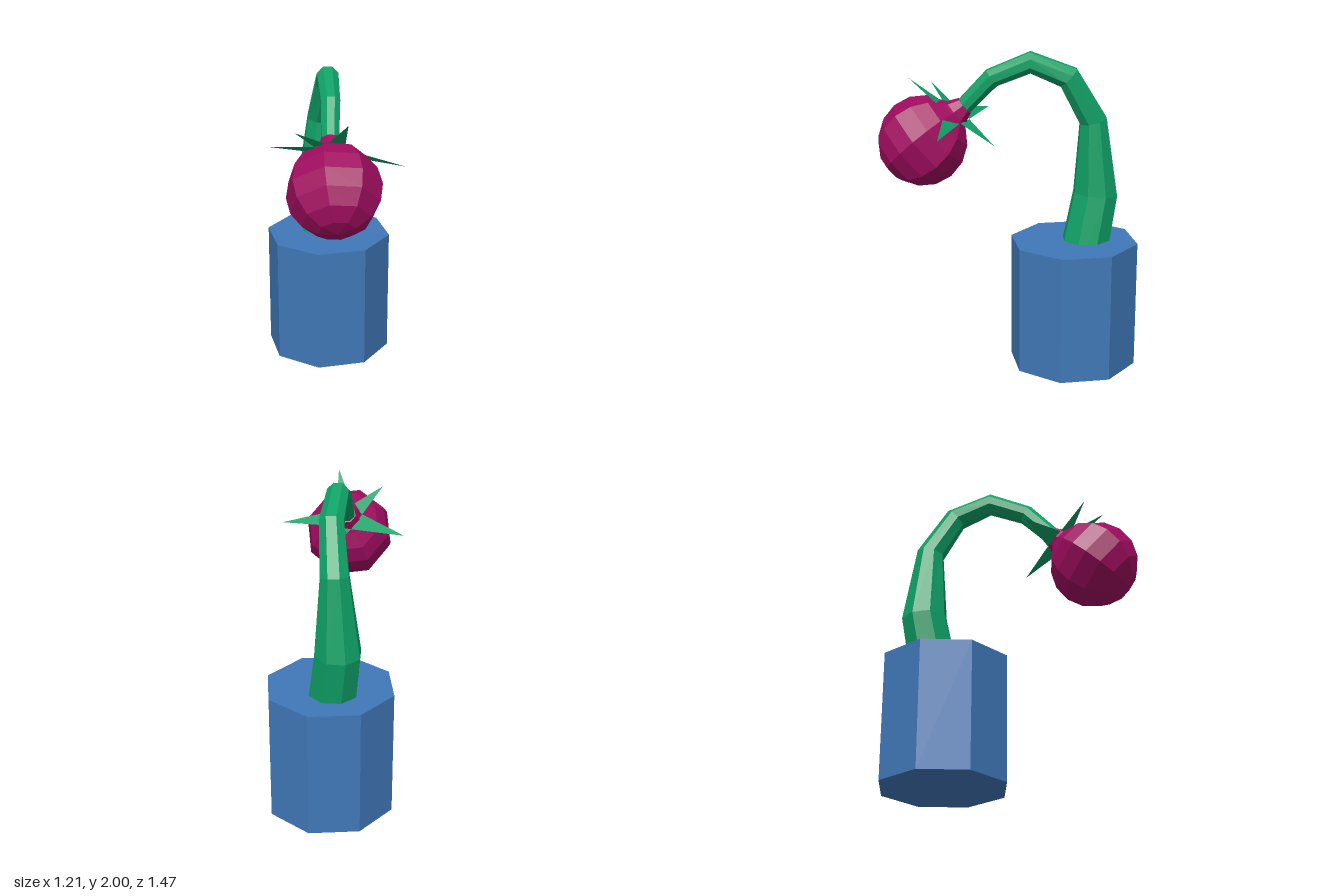
import * as THREE from 'three';

const V = (x, y, z) => new THREE.Vector3(x, y, z);
const mat = (color, side = THREE.FrontSide) =>
  new THREE.MeshStandardMaterial({ color, flatShading: true, side });

function addMesh(group, name, geometry, material) {
  const mesh = new THREE.Mesh(geometry, material);
  mesh.name = name;
  group.add(mesh);
  return mesh;
}

// Tapering tube with one ring of corners per point [x, y, z, radius]
function taperedTube(rings, side, sides) {
  const centres = rings.map(r => V(r[0], r[1], r[2]));
  const pos = [], index = [];
  rings.forEach((ring, i) => {
    const tangent = centres[Math.min(i + 1, rings.length - 1)].clone()
      .sub(centres[Math.max(i - 1, 0)]).normalize();
    const u = side.clone().addScaledVector(tangent, -side.dot(tangent)).normalize();
    const v = tangent.clone().cross(u);
    for (let j = 0; j < sides; j++) {
      const a = (j + 0.5) / sides * Math.PI * 2;
      const p = centres[i].clone()
        .addScaledVector(u, Math.cos(a) * ring[3])
        .addScaledVector(v, Math.sin(a) * ring[3]);
      pos.push(p.x, p.y, p.z);
      if (i < rings.length - 1) {
        const k = i * sides + j, n = i * sides + (j + 1) % sides;
        index.push(k, n, n + sides, k, n + sides, k + sides);
      }
    }
  });
  const g = new THREE.BufferGeometry();
  g.setAttribute('position', new THREE.Float32BufferAttribute(pos, 3));
  g.setIndex(index);
  g.computeVertexNormals();
  return g;
}

export function createModel() {
  const model = new THREE.Group();
  model.name = 'pottedPlant';
  const green = 0x0fa066;

  // Octagonal pot
  const pot = addMesh(model, 'pot', new THREE.CylinderGeometry(0.405, 0.405, 0.81, 8), mat(0x4078b8));
  pot.position.set(0.2, 0.405, -0.325);

  // Drooping stem, rooted inside the pot
  const stemRings = [
    [0.22, 0.50, -0.34, 0.16], [0.22, 1.10, -0.47, 0.145], [0.225, 1.57, -0.44, 0.09],
    [0.17, 1.845, -0.29, 0.078], [0.035, 1.935, -0.1, 0.07],
    [-0.09, 1.84, 0.1, 0.062], [-0.19, 1.665, 0.235, 0.056],
  ];
  addMesh(model, 'stem', taperedTube(stemRings, V(0.858, 0, 0.514), 8), mat(green));

  // Round bulb with a short neck that meets the end of the stem
  const centre = V(-0.325, 1.445, 0.46), neck = V(-0.19, 1.665, 0.235);
  const axis = neck.clone().sub(centre);
  const length = axis.length();
  axis.normalize();
  const profile = [], r = 0.282, steps = 8;
  for (let i = 0; i < steps; i++) {
    const a = i / steps * Math.PI;
    profile.push(new THREE.Vector2(Math.sin(a) * r, -Math.cos(a) * r));
  }
  profile.push(new THREE.Vector2(0.09, 0.275), new THREE.Vector2(0.06, length), new THREE.Vector2(0, length));
  const bulb = addMesh(model, 'bulb', new THREE.LatheGeometry(profile, 8), mat(0xa00d60));
  bulb.position.copy(centre);
  bulb.quaternion.setFromUnitVectors(V(0, 1, 0), axis);

  // Star of pointed sepals around the neck; neighbours share a base corner
  const hub = V(-0.22, 1.615, 0.285);
  const tips = [
    V(-0.3, 1.85, 0.56), V(-0.49, 1.78, 0.31), V(-0.43, 1.585, -0.08),
    V(0.02, 1.44, 0.15), V(0.095, 1.54, 0.585),
  ];
  const outward = tips.map(t => t.clone().sub(hub).normalize());
  const corners = outward.map((d, i) =>
    d.clone().add(outward[(i + 1) % 5]).normalize().multiplyScalar(0.1).add(hub));
  const sepals = new THREE.Group();
  sepals.name = 'sepals';
  const leaf = mat(green, THREE.DoubleSide);
  tips.forEach((tip, i) => {
    const g = new THREE.BufferGeometry().setFromPoints([corners[(i + 4) % 5], tip, corners[i]]);
    g.computeVertexNormals();
    addMesh(sepals, 'sepal', g, leaf);
  });
  model.add(sepals);
  return model;
}
